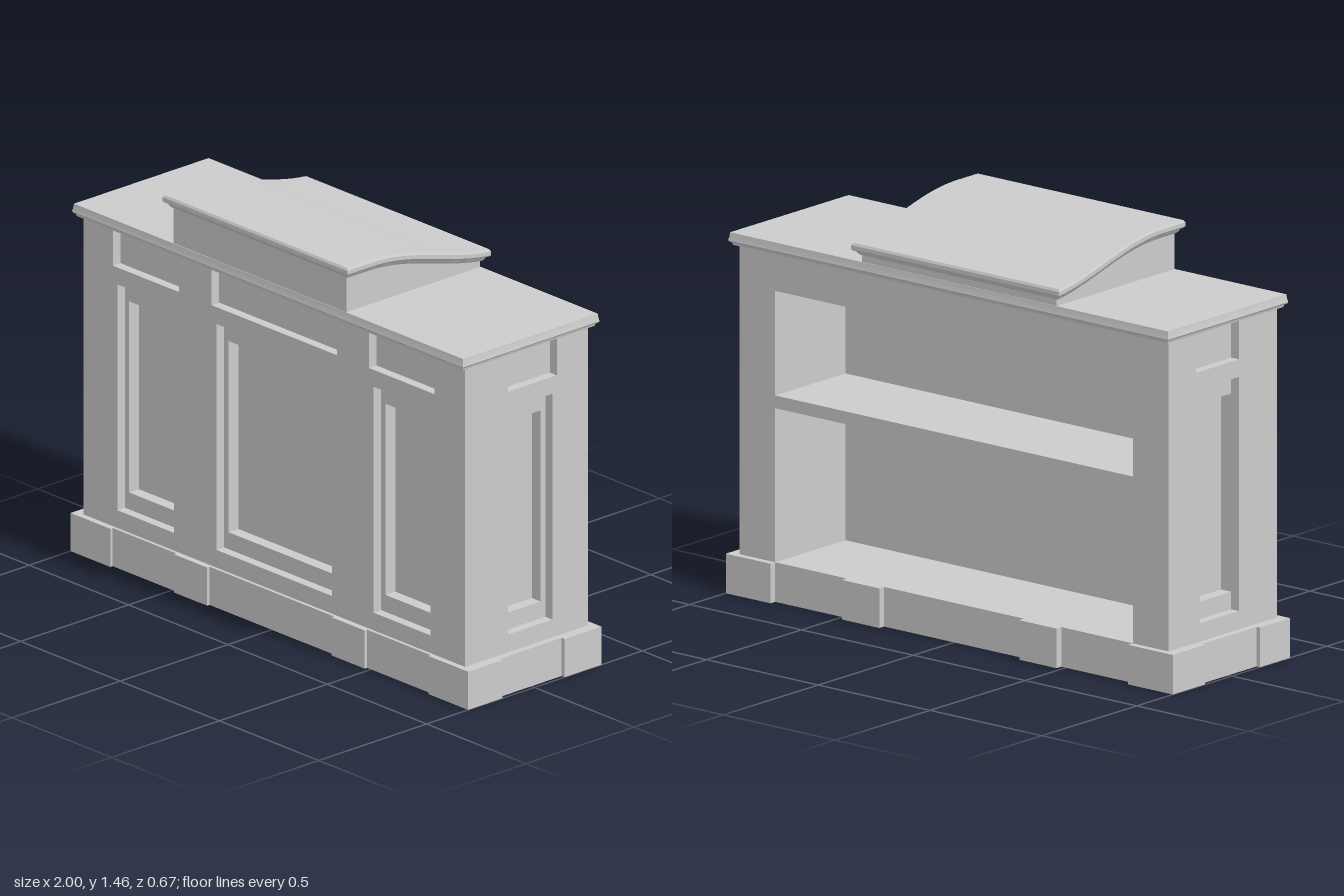
import * as THREE from 'three';
import { toCreasedNormals } from 'three/addons/utils/BufferGeometryUtils.js';

const material = new THREE.MeshStandardMaterial({ color: 0xcccccc });

function add(parent, name, geometry) {
  const mesh = new THREE.Mesh(geometry, material);
  mesh.name = name;
  parent.add(mesh);
  return mesh;
}

// Box given by its two extreme corners
function block(parent, name, x0, x1, y0, y1, z0, z1) {
  const geo = new THREE.BoxGeometry(x1 - x0, y1 - y0, z1 - z0);
  geo.translate((x0 + x1) / 2, (y0 + y1) / 2, (z0 + z1) / 2);
  return add(parent, name, geo);
}

function rect(target, x0, x1, y0, y1) {
  target.moveTo(x0, y0);
  target.lineTo(x1, y0);
  target.lineTo(x1, y1);
  target.lineTo(x0, y1);
  target.closePath();
  return target;
}

// Flat sheet [x0, x1, y0, y1] pierced by rectangular openings
function frame(outer, openings, depth) {
  const shape = rect(new THREE.Shape(), ...outer);
  for (const o of openings) shape.holes.push(rect(new THREE.Path(), ...o));
  return new THREE.ExtrudeGeometry(shape, { depth, bevelEnabled: false });
}

// Moulded slab: each profile row is [inset, y]; rise(z) bends it
function moulding(width, depth, profile, rise, zSegments) {
  const n = profile.length - 1;
  const geo = new THREE.BoxGeometry(width, 1, depth, 1, n, zSegments);
  const p = geo.attributes.position;
  for (let i = 0; i < p.count; i++) {
    const [inset, y] = profile[Math.round((0.5 - p.getY(i)) * n)];
    const z = p.getZ(i) * (1 - 2 * inset / depth);
    p.setXYZ(i, p.getX(i) * (1 - 2 * inset / width), y + rise(z), z);
  }
  return toCreasedNormals(geo, 0.45);
}

// Height of the sloping reading surface
function deskHeight(z) {
  const t = THREE.MathUtils.clamp((0.22 - z) / 0.62, 0, 1);
  return 1.455 - 0.055 * (1 - Math.cos(Math.PI * t));
}

export function createModel() {
  const group = new THREE.Group();
  const step1 = 0.035, step2 = 0.045;
  const bottom = 0.1, top = 1.26;

  // Front: stepped panels with a shallow recess above each
  const front = new THREE.Group();
  front.name = 'frontPanelling';
  const panels = [[-0.79, -0.505], [-0.29, 0.29], [0.5, 0.785]];
  const friezes = [[-0.812, -0.48], [-0.315, 0.315], [0.477, 0.807]];
  const outer = [-0.96, 0.96, bottom, top];
  const f1 = frame(outer, [
    ...panels.map(([a, b]) => [a, b, 0.205, 1.033]),
    ...friezes.map(([a, b]) => [a, b, 1.095, 1.245])
  ], step1);
  add(front, 'frontFrame', f1).position.z = 0.285 - step1;
  const f2 = frame(outer, panels.map(([a, b]) => [a + 0.022, b - 0.022, 0.267, 0.968]), step2);
  add(front, 'frontInnerFrame', f2).position.z = 0.285 - step1 - step2;
  block(front, 'frontBacking', -0.96, 0.96, bottom, top, 0.085, 0.205);
  group.add(front);

  // Ends: one stepped panel and one upper recess each
  for (const s of [1, -1]) {
    const side = new THREE.Group();
    side.name = s > 0 ? 'leftEnd' : 'rightEnd';
    const sheet = [-0.205, 0.285, bottom, top];
    const layers = [
      [frame(sheet, [[-0.13, 0.12, 0.205, 1.033], [-0.148, 0.14, 1.095, 1.245]], step1), step1, 0.96],
      [frame(sheet, [[-0.108, 0.098, 0.267, 0.968]], step2), step2, 0.96 - step1],
      [frame(sheet, [], 0.08), 0.08, 0.96 - step1 - step2]
    ];
    layers.forEach(([geo, depth, face], i) => {
      geo.rotateY(Math.PI / 2);
      geo.translate(s > 0 ? face - depth : -face, 0, 0);
      add(side, ['endFrame', 'endInnerFrame', 'endBacking'][i], geo);
    });
    group.add(side);
  }

  // Open shelving at the back
  block(group, 'topRail', -0.8, 0.8, 1.1, top, -0.285, 0.085);
  block(group, 'shelf', -0.8, 0.8, 0.685, 0.73, -0.285, 0.085);

  // Plinth with projecting blocks
  const plinth = new THREE.Group();
  plinth.name = 'plinth';
  block(plinth, 'plinthCore', -0.985, 0.985, 0, 0.14, -0.285, 0.297);
  for (const s of [1, -1]) {
    const x0 = s > 0 ? 0.8 : -1, m0 = s > 0 ? 0.313 : -0.48;
    for (const back of [false, true]) {
      const z0 = back ? -0.31 : 0.148, z1 = back ? -0.14 : 0.308;
      block(plinth, 'cornerBlock', x0, x0 + 0.2, 0, 0.14, z0, z1);
      block(plinth, 'middleBlock', m0, m0 + 0.167, 0, 0.14,
        back ? -0.31 : 0.28, back ? -0.28 : 0.308);
    }
  }
  group.add(plinth);

  // Counter top with moulded edge
  add(group, 'counterTop', moulding(1.968, 0.634,
    [[0.005, 1.281], [0.003, 1.265], [0, 1.253], [0.004, 1.247], [0.01, 1.244], [0.012, 1.236]],
    () => 0, 1));

  // Reading desk: wedge-shaped body under a curved, moulded lid
  const desk = new THREE.Group();
  desk.name = 'readingDesk';
  desk.position.x = -0.045;
  const profile = new THREE.Shape();
  profile.moveTo(-0.31, 1.26);
  profile.lineTo(0.31, 1.26);
  for (let i = 0; i <= 20; i++) {
    const z = -0.31 + 0.031 * i;
    profile.lineTo(-z, deskHeight(z) - 0.04);
  }
  profile.closePath();
  const body = new THREE.ExtrudeGeometry(profile, { depth: 0.87, bevelEnabled: false });
  body.rotateY(Math.PI / 2);
  body.translate(-0.435, 0, 0);
  add(desk, 'deskBody', body);
  add(desk, 'deskLid', moulding(0.93, 0.666,
    [[0.005, 0], [0, -0.008], [0, -0.022], [0.006, -0.028], [0.012, -0.03], [0.016, -0.038], [0.022, -0.045]],
    deskHeight, 24));
  group.add(desk);

  return group;
}
